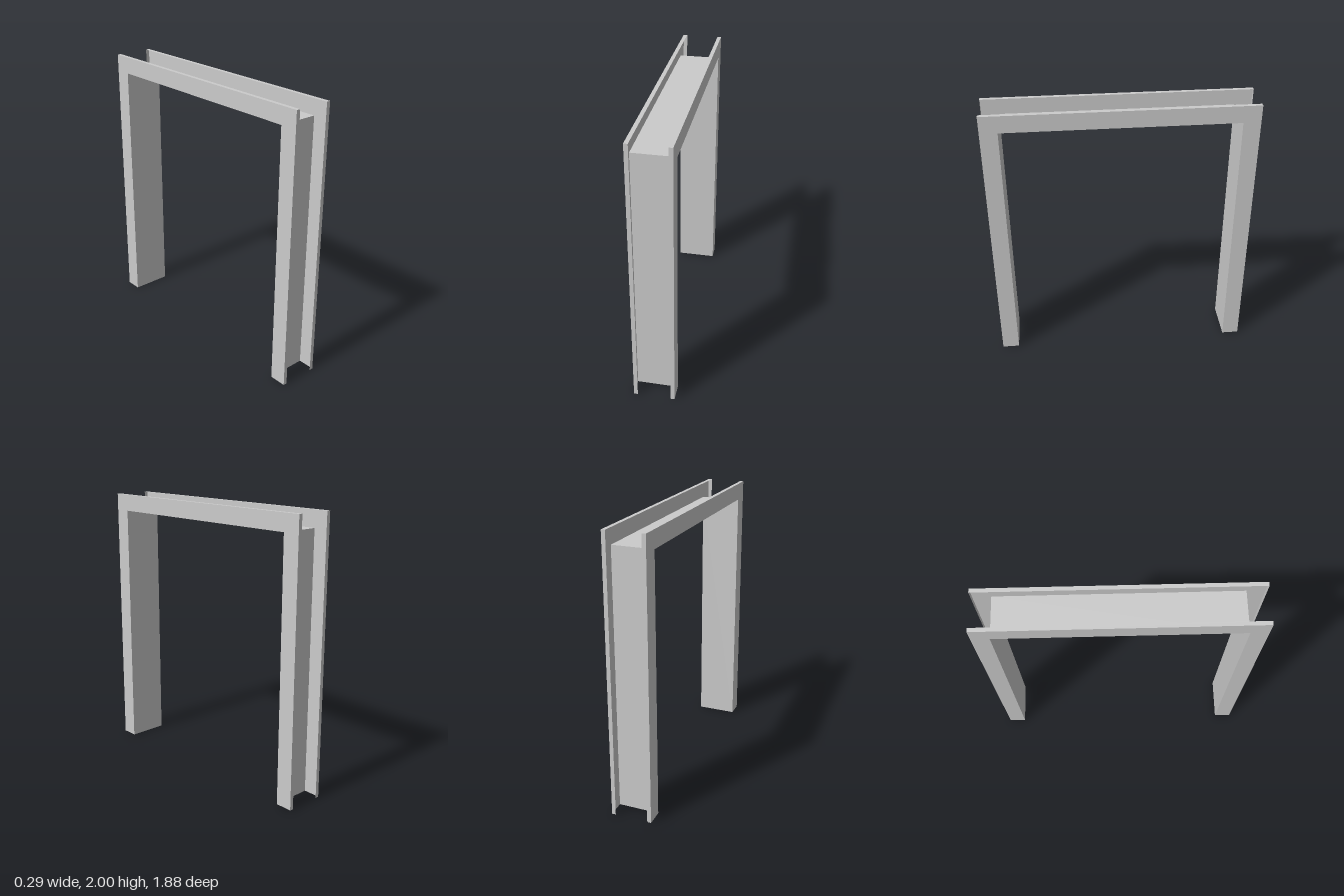
import * as THREE from 'three';

// Overall sizes of the folded sheet frame
const HEIGHT = 2, HALF_DEPTH = 0.942, HALF_WIDTH = 0.147;
const FACE = 0.123;       // width of the face around the opening
const LIP_EDGE = 0.119;   // x of the free edge of the return lip

// Sheet cross-section: [x, inset from the outer outline]
const PROFILE = [
  [-LIP_EDGE, 0], [-HALF_WIDTH, 0], [-HALF_WIDTH, FACE],
  [HALF_WIDTH, FACE], [HALF_WIDTH, 0], [LIP_EDGE, 0],
];

// Path stations: floor, two mitred corners, floor
const STATIONS = [
  ([x, d]) => [x, 0, HALF_DEPTH - d],
  ([x, d]) => [x, HEIGHT - d, HALF_DEPTH - d],
  ([x, d]) => [x, HEIGHT - d, -HALF_DEPTH + d],
  ([x, d]) => [x, 0, -HALF_DEPTH + d],
];

// One folded channel between two stations, with flat-shaded bends
function channel(start, end) {
  const positions = [];
  for (let i = 0; i < PROFILE.length - 1; i++) {
    const p = PROFILE[i], q = PROFILE[i + 1];
    const a = start(p), b = end(p), c = end(q), d = start(q);
    positions.push(...a, ...b, ...c, ...a, ...c, ...d);
  }
  const geometry = new THREE.BufferGeometry();
  geometry.setAttribute('position', new THREE.Float32BufferAttribute(positions, 3));
  geometry.computeVertexNormals();
  return geometry;
}

export function createModel() {
  const group = new THREE.Group();
  group.name = 'doorFrame';
  const material = new THREE.MeshStandardMaterial({
    color: 0xcccccc, flatShading: true, side: THREE.DoubleSide,
  });

  // Two jambs joined by the header
  ['frontJamb', 'header', 'backJamb'].forEach((name, i) => {
    const mesh = new THREE.Mesh(channel(STATIONS[i], STATIONS[i + 1]), material);
    mesh.name = name;
    group.add(mesh);
  });
  return group;
}
